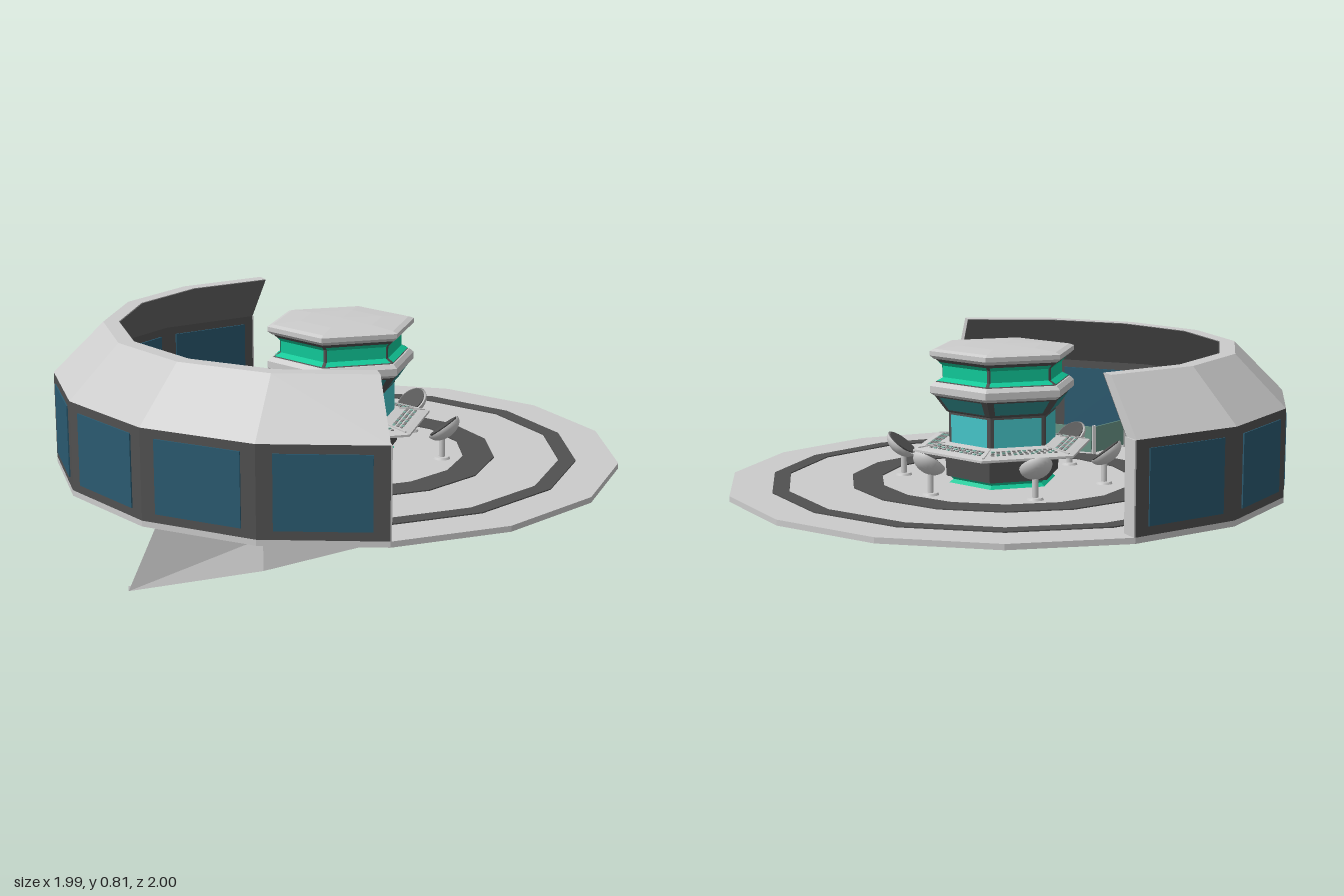
import * as THREE from 'three';

const LIGHT = 0xcccccc, DARK = 0x505050, WINDOW = 0x2a5a70, CYAN = 0x45c4c8, TEAL = 0x2f8a8a, GREEN = 0x10c898, GLASS = 0x6a9688;
const rad = Math.PI / 180, STEP = 24, R = 1.005, IN = 0.565, OUT = 0.93, FLOOR = 0.32;
const mat = (color, opts = {}) => new THREE.MeshStandardMaterial({ color, flatShading: true, ...opts });
const polar = (r, deg, y) => [r * Math.cos(deg * rad), y, r * Math.sin(deg * rad)];
const mix = (a, b, t) => a.map((v, i) => v + (b[i] - v) * t);

function add(parent, name, geo, color, opts) {
  const m = new THREE.Mesh(geo, mat(color, opts));
  m.name = name;
  parent.add(m);
  return m;
}

// Skins a list of cross-sections; closed sections may get end caps
function loft(sections, { open = false, caps = false } = {}) {
  const pos = [], n = sections[0].length;
  const tri = (a, b, c) => pos.push(...a, ...b, ...c);
  for (let s = 0; s < sections.length - 1; s++) {
    const A = sections[s], B = sections[s + 1];
    for (let i = 0; i < (open ? n - 1 : n); i++) {
      const j = (i + 1) % n;
      tri(A[i], A[j], B[j]);
      tri(A[i], B[j], B[i]);
    }
  }
  if (caps) {
    const A = sections[0], B = sections[sections.length - 1];
    for (let i = 1; i < n - 1; i++) {
      tri(A[0], A[i + 1], A[i]);
      tri(B[0], B[i], B[i + 1]);
    }
  }
  const g = new THREE.BufferGeometry();
  g.setAttribute('position', new THREE.Float32BufferAttribute(pos, 3));
  g.computeVertexNormals();
  return g;
}

// Carries an (r, y) profile around the axis in straight segments
function sweep(profile, start, count, step = STEP, opts = {}) {
  const sections = [];
  for (let k = 0; k <= count; k++) sections.push(profile.map(([r, y]) => polar(r, start + k * step, y)));
  return loft(sections, { caps: Math.abs(count * step) < 359, ...opts });
}
const bar = (r0, r1, y0, y1) => [[r0, y0], [r1, y0], [r1, y1], [r0, y1]];
const hex = (profile) => sweep(profile, 0, 6, 60, { open: true });

function buildDeck(g) {
  const shape = new THREE.Shape();
  for (let k = 0; k < 15; k++) {
    const [x, , z] = polar(R, k * STEP, 0);
    k ? shape.lineTo(x, z) : shape.moveTo(x, z);
  }
  const hole = [[IN, 96], [IN, 120], [IN, 144], [OUT, 144], [OUT, 120], [OUT, 96]];
  shape.holes.push(new THREE.Path(hole.map(([r, a]) => { const [x, , z] = polar(r, a, 0); return new THREE.Vector2(x, z); })));
  const deck = new THREE.ExtrudeGeometry(shape, { depth: 0.02, bevelEnabled: false });
  deck.rotateX(Math.PI / 2).translate(0, FLOOR, 0);
  add(g, 'deck', deck, LIGHT);
  add(g, 'innerFloorRing', sweep(bar(0.455, 0.565, FLOOR, 0.324), 0, 15), DARK);
  add(g, 'outerFloorRing', sweep(bar(0.795, 0.855, FLOOR, 0.324), 144, 13), DARK);
}

function buildWall(g) {
  add(g, 'wallFrame', sweep(bar(0.937, R, FLOOR, 0.63), 96, 7), DARK);
  add(g, 'slopedRoof', sweep([[0.937, 0.63], [R, 0.63], [0.825, 0.81], [0.77, 0.81]], 96, 7), LIGHT);
  add(g, 'roofLining', sweep([[0.767, 0.808], [0.934, 0.63]], 96, 7, STEP, { open: true, caps: false }), 0x666666, { side: THREE.DoubleSide });
  for (const a of [95.7, 264]) add(g, 'wallEnd', sweep(bar(0.937, R, FLOOR, 0.63), a, 1, 0.3), LIGHT);
  // One pane per segment, showing on both faces of the wall
  for (let k = 0; k < 7; k++) {
    const a = 96 + (k + 0.5) * STEP;
    const w = add(g, 'wallWindow', new THREE.BoxGeometry(0.312, 0.25, 0.077), WINDOW);
    w.position.set(...polar(0.949, a, 0.475));
    w.rotation.y = Math.PI / 2 - a * rad;
  }
}

function buildRamp(g) {
  // Inner and outer ramp edges: landing, top, knee, foot
  const inner = [polar(IN, 72, 0.297), polar(IN, 96, 0.297), polar(IN, 120, 0.19), [-0.47, 0, 0.28]];
  const outer = [polar(OUT, 72, 0.297), polar(OUT, 96, 0.297), polar(OUT, 120, 0.19), [-0.83, 0, 0.37]];
  const up = ([x, y, z], h) => [x, y + h, z];
  const strip = (t0, t1, lo, hi) => loft(inner.map((p, i) => {
    const a = mix(p, outer[i], t0), b = mix(p, outer[i], t1);
    return [up(a, lo), up(b, lo), up(b, hi), up(a, hi)];
  }), { caps: true });
  add(g, 'ramp', strip(0, 1, 0, 0.018), LIGHT);
  add(g, 'rampStripe', strip(0.64, 0.8, -0.002, 0.0205), DARK);
  // Side walls hang from the opening down to the ramp
  for (const [name, r, edge] of [['rampInnerWall', IN, inner], ['rampOuterWall', OUT, outer]]) {
    const sections = [96, 120, 144].map((a, i) => [polar(r, a, 0.301), edge[i + 1]]);
    add(g, name, loft(sections, { open: true }), LIGHT, { side: THREE.DoubleSide });
  }
  // Glass rails around the opening
  const rails = [polar(IN, 98, 0), polar(IN, 120, 0), polar(IN, 144, 0), polar(0.78, 144, 0)];
  rails.forEach((p, i) => {
    const post = add(g, 'railPost', new THREE.BoxGeometry(0.012, 0.115, 0.012), LIGHT);
    post.position.set(p[0], FLOOR + 0.0575, p[2]);
    if (!i) return;
    const q = rails[i - 1], dx = p[0] - q[0], dz = p[2] - q[2];
    const pane = add(g, 'railGlass', new THREE.BoxGeometry(Math.hypot(dx, dz) - 0.02, 0.1, 0.006), GLASS);
    pane.position.set((p[0] + q[0]) / 2, FLOOR + 0.06, (p[2] + q[2]) / 2);
    pane.rotation.y = -Math.atan2(dz, dx);
  });
}

function buildConsole(g) {
  add(g, 'baseGlow', hex([[0.2, 0.32], [0.185, 0.332], [0.2, 0.346]]), GREEN);
  add(g, 'pedestal', hex([[0.18, 0.345], [0.21, 0.345], [0.215, 0.42], [0.3, 0.437]]), DARK);
  add(g, 'desk', hex([[0.2, 0.43], [0.31, 0.435], [0.333, 0.44], [0.333, 0.448], [0.31, 0.452], [0.2, 0.468]]), LIGHT);
  add(g, 'column', hex([[0.2, 0.46], [0.2, 0.575], [0.21, 0.58], [0.255, 0.64], [0.2, 0.64]]), DARK);
  add(g, 'middleBand', hex([[0.2, 0.637], [0.255, 0.637], [0.27, 0.648], [0.27, 0.672], [0.255, 0.685], [0.22, 0.688]]), LIGHT);
  add(g, 'lampHousing', hex([[0.25, 0.686], [0.222, 0.7], [0.222, 0.745], [0.255, 0.772]]), DARK);
  add(g, 'cap', hex([[0, 0.768], [0.255, 0.768], [0.27, 0.78], [0.27, 0.796], [0.25, 0.803], [0.15, 0.809], [0, 0.812]]), LIGHT);
  // Panes laid on each of the six sides: r and y at foot and head, side inset
  const panes = [
    ['columnWindow', CYAN, 0.203, 0.468, 0.203, 0.568, 0.07],
    ['slopedWindow', TEAL, 0.217, 0.585, 0.254, 0.632, 0.1],
    ['lampLower', GREEN, 0.25, 0.69, 0.226, 0.702, 0.03],
    ['lamp', GREEN, 0.226, 0.702, 0.226, 0.743, 0.03],
    ['lampUpper', GREEN, 0.226, 0.743, 0.24, 0.756, 0.03],
  ];
  for (const [name, color, r0, y0, r1, y1, inset] of panes) for (let k = 0; k < 6; k++) {
    const side = (r, y) => [inset, 1 - inset].map((t) => mix(polar(r, k * 60, y), polar(r, k * 60 + 60, y), t));
    add(g, name, loft([side(r0, y0), side(r1, y1)], { open: true }), color, { side: THREE.DoubleSide });
  }
  // Rows of keys on the desk, with bright edge strips at the corners
  const key = new THREE.BoxGeometry(0.011, 0.004, 0.009);
  for (let k = 0; k < 6; k++) {
    const panel = new THREE.Group();
    panel.name = 'keyPanel';
    panel.rotation.y = k * Math.PI / 3;
    for (let row = 0; row < 3; row++) for (let i = 0; i < 12; i++) {
      const m = add(panel, 'key', key, (i + row) % 3 ? 0x909090 : 0x7fb5a8);
      m.position.set((i - 5.5) * (0.019 + row * 0.001), 0.4625 - row * 0.0028, 0.218 + row * 0.015);
    }
    g.add(panel);
    const rib = add(g, 'deskRib', new THREE.BoxGeometry(0.1, 0.006, 0.008), LIGHT);
    rib.position.set(...polar(0.265, k * 60, 0.459));
    rib.rotation.set(0, -k * 60 * rad, -0.13, 'YXZ');
  }
}

function buildChair() {
  const chair = new THREE.Group();
  chair.name = 'chair';
  const smooth = { flatShading: false };
  add(chair, 'chairFoot', new THREE.CylinderGeometry(0.026, 0.03, 0.008, 16), LIGHT, smooth).position.y = 0.004;
  add(chair, 'chairStem', new THREE.CylinderGeometry(0.011, 0.011, 0.09, 12), LIGHT, smooth).position.y = 0.045;
  // Half-egg shell tipped toward the console (local -z)
  const seat = new THREE.Group();
  seat.name = 'seat';
  seat.position.set(0, 0.118, 0.004);
  seat.rotation.x = -0.65;
  const shell = new THREE.SphereGeometry(1, 20, 8, 0, Math.PI * 2, Math.PI / 2, Math.PI / 2);
  shell.scale(0.057, 0.042, 0.064);
  add(seat, 'seatShell', shell, LIGHT, { ...smooth, side: THREE.DoubleSide });
  const cushion = new THREE.CylinderGeometry(1, 0.95, 1, 20);
  cushion.scale(0.05, 0.006, 0.057);
  add(seat, 'cushion', cushion, DARK);
  chair.add(seat);
  return chair;
}

export function createModel() {
  const model = new THREE.Group();
  model.name = 'loungeDeck';
  const deck = new THREE.Group(), core = new THREE.Group();
  deck.name = 'deckAndWall';
  deck.position.x = -0.011;
  buildDeck(deck);
  buildWall(deck);
  buildRamp(deck);
  core.name = 'centralConsole';
  core.position.x = 0.004;
  buildConsole(core);
  // Six chairs facing the console
  for (let k = 0; k < 6; k++) {
    const chair = buildChair(), a = 30 + k * 60;
    chair.position.set(...polar(0.37, a, FLOOR));
    chair.rotation.y = Math.PI / 2 - a * rad;
    core.add(chair);
  }
  model.add(deck, core);
  return model;
}
